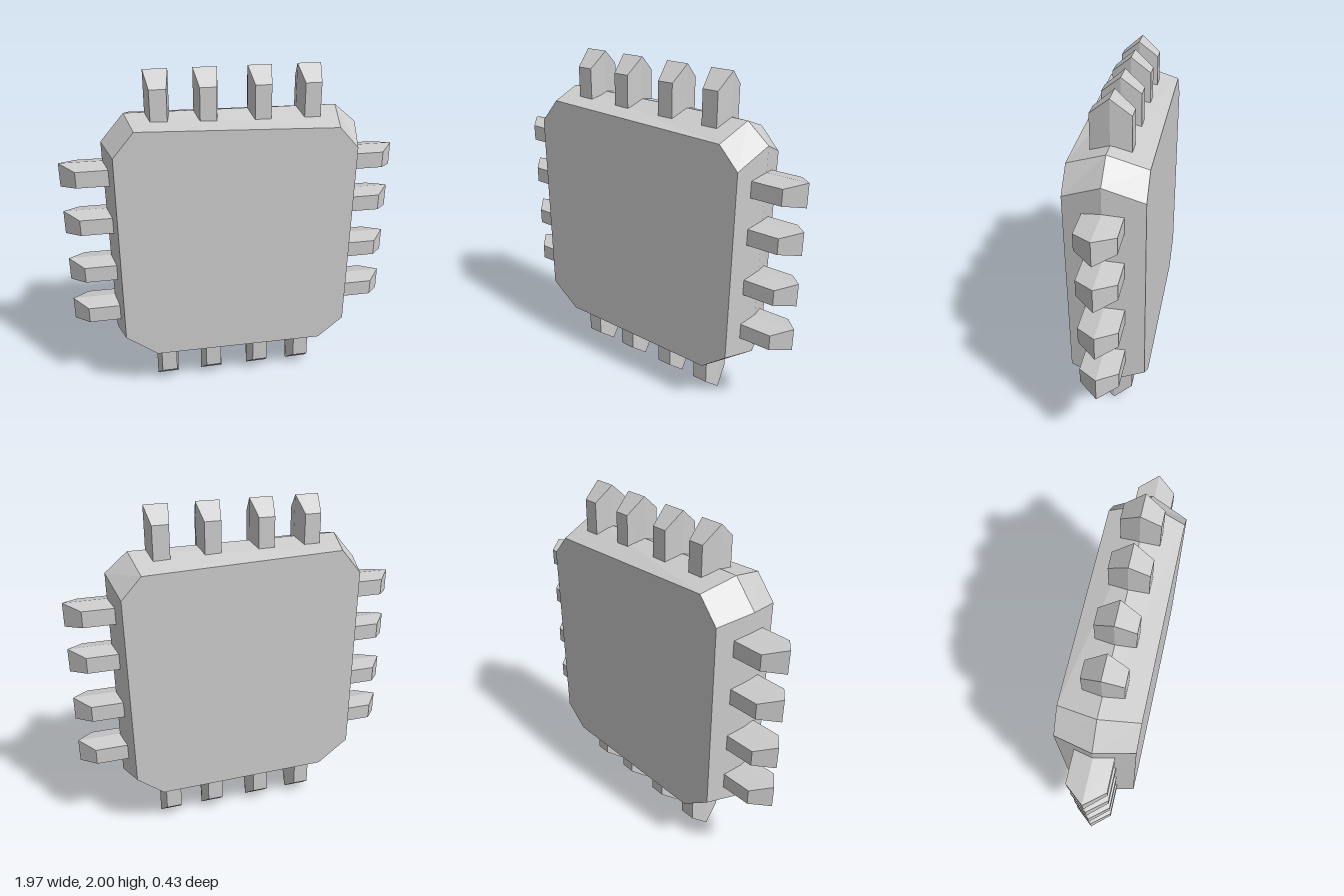
import * as THREE from 'three';

const material = new THREE.MeshStandardMaterial({ color: 0xcccccc, flatShading: true });

// Chipped slab: the widest outline sits at mid depth, the two faces are smaller
function bodyGeometry() {
  const outer = [[-0.55, 0.245], [0.56, 0.24], [0.735, 0.37], [0.745, 1.645],
    [0.615, 1.755], [-0.61, 1.765], [-0.745, 1.61], [-0.735, 0.4]];
  const inner = [[-0.505, 0.3], [0.525, 0.29], [0.68, 0.415], [0.695, 1.55],
    [0.58, 1.675], [-0.57, 1.715], [-0.69, 1.575], [-0.69, 0.44]];
  const ring = (outline, z) => outline.map(([x, y]) => [x, y, z]);
  const rings = [ring(inner, 0.213), ring(outer, 0), ring(inner, -0.213)];
  const n = outer.length, pos = [];
  const tri = (a, b, c) => pos.push(...a, ...b, ...c);
  for (let r = 0; r < 2; r++) {
    const a = rings[r], b = rings[r + 1];
    for (let i = 0; i < n; i++) {
      const j = (i + 1) % n;
      tri(a[i], b[i], b[j]);
      tri(a[i], b[j], a[j]);
    }
  }
  // Front and back faces
  for (let i = 1; i < n - 1; i++) {
    tri(rings[0][0], rings[0][i], rings[0][i + 1]);
    tri(rings[2][0], rings[2][i + 1], rings[2][i]);
  }
  const g = new THREE.BufferGeometry();
  g.setAttribute('position', new THREE.Float32BufferAttribute(pos, 3));
  g.computeVertexNormals();
  return g;
}

// Hexagonal peg pointing up, with a ridge at its tip (the origin)
function pinGeometry() {
  const g = new THREE.CylinderGeometry(1, 1, 1, 6, 1, false, Math.PI / 6).toNonIndexed();
  const p = g.attributes.position;
  for (let i = 0; i < p.count; i++) {
    const x = p.getX(i), z = p.getZ(i);
    const side = Math.abs(z) > 0.1;
    const width = Math.abs(x) < 0.1 ? 0 : side ? 0.047 : 0.069;
    const y = p.getY(i) < 0 ? -0.35 : side ? -0.09 : 0;
    p.setXYZ(i, Math.sign(x) * width, y, side ? Math.sign(z) * 0.108 : 0);
  }
  g.computeVertexNormals();
  return g;
}

export function createModel() {
  const model = new THREE.Group();
  model.name = 'chip';

  const body = new THREE.Mesh(bodyGeometry(), material);
  body.name = 'body';
  model.add(body);

  // Four rows of pins, one on each edge
  const pin = pinGeometry();
  const rows = [
    { name: 'topPin', turn: 0, at: [-0.425, -0.15, 0.16, 0.447], place: (t) => [t, 2] },
    { name: 'bottomPin', turn: Math.PI, at: [-0.427, -0.14, 0.168, 0.443], place: (t) => [t, 0] },
    { name: 'leftPin', turn: -Math.PI / 2, at: [0.555, 0.845, 1.155, 1.43], place: (t) => [0.987, t] },
    { name: 'rightPin', turn: Math.PI / 2, at: [0.56, 0.835, 1.14, 1.43], place: (t) => [-0.987, t] },
  ];
  for (const row of rows) {
    row.at.forEach((t, i) => {
      const mesh = new THREE.Mesh(pin, material);
      mesh.name = row.name + (i + 1);
      mesh.position.set(...row.place(t), 0);
      mesh.rotation.z = row.turn;
      model.add(mesh);
    });
  }
  return model;
}
